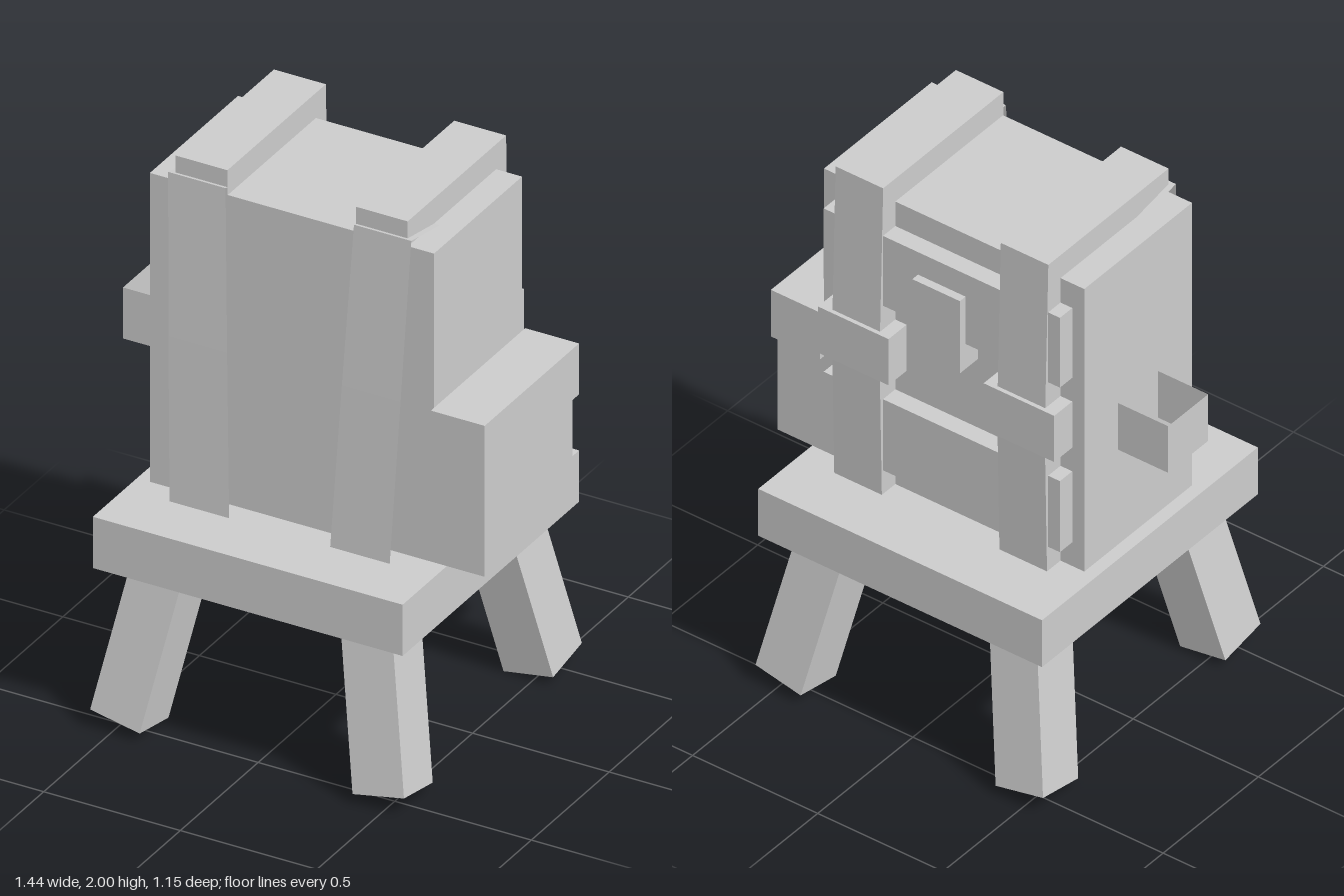
import * as THREE from 'three';

const grey = new THREE.MeshStandardMaterial({ color: 0xcccccc, side: THREE.DoubleSide });
grey.name = 'plain grey';

export function createModel() {
  const model = new THREE.Group();
  model.name = 'backpackOnStool';

  const add = (name, geometry) => {
    const mesh = new THREE.Mesh(geometry, grey);
    mesh.name = name;
    model.add(mesh);
    return mesh;
  };

  // Box given by its extents along each axis
  const box = (name, [x0, x1], [y0, y1], [z0, z1]) => {
    const mesh = add(name, new THREE.BoxGeometry(x1 - x0, y1 - y0, z1 - z0));
    mesh.position.set((x0 + x1) / 2, (y0 + y1) / 2, (z0 + z1) / 2);
    return mesh;
  };

  // Flat-shaded sheet through successive pairs of points
  const sheet = (name, rows) => {
    const corners = [];
    for (let i = 0; i + 1 < rows.length; i++) {
      const [a, b] = rows[i];
      const [c, d] = rows[i + 1];
      corners.push(...a, ...c, ...b, ...b, ...c, ...d);
    }
    const geometry = new THREE.BufferGeometry();
    geometry.setAttribute('position', new THREE.Float32BufferAttribute(corners, 3));
    geometry.computeVertexNormals();
    return add(name, geometry);
  };

  // Stool: square seat and four splayed legs
  box('seat', [-0.567, 0.567], [0.587, 0.775], [-0.567, 0.567]);
  const splay = 0.18, legLength = 0.65;
  for (const sx of [-1, 1]) {
    for (const sz of [-1, 1]) {
      const geometry = new THREE.BoxGeometry(0.188, legLength, 0.188);
      geometry.translate(0, legLength / 2, 0);
      const leg = add('leg', geometry);
      leg.position.set(sx * 0.482, 0.035, sz * 0.482);
      leg.rotation.set(-sz * splay, 0, sx * splay);
    }
  }

  // Bag body, with two pads and a centre buckle on its back
  box('bagBody', [-0.52, 0.52], [0.775, 1.908], [-0.283, 0.283]);
  box('upperPad', [-0.472, 0.472], [1.53, 1.81], [-0.348, -0.28]);
  box('lowerPad', [-0.472, 0.472], [0.87, 1.155], [-0.348, -0.28]);
  box('centreBuckle', [-0.095, 0.095], [1.43, 1.72], [-0.378, -0.28]);

  // Side pouch with an overhanging lid
  box('sidePouch', [0.52, 0.705], [0.775, 1.155], [-0.283, 0.283]);
  box('pouchLid', [0.52, 0.717], [1.155, 1.342], [-0.303, 0.303]);

  // Open loop of thin webbing on the other side
  const loopPath = [[-0.52, -0.105], [-0.72, -0.105], [-0.72, 0.105], [-0.52, 0.105]];
  sheet('sideLoop', loopPath.map(([x, z]) => [[x, 1.155, z], [x, 1.342, z]]));

  // Over-the-top strap, side profile running across the top and down the back
  const profile = new THREE.Shape([
    [0.285, 1.9], [0.285, 2], [-0.347, 2], [-0.366, 1.34],
    [-0.354, 0.775], [-0.28, 0.775], [-0.28, 1.9],
  ].map(([z, y]) => new THREE.Vector2(-z, y)));
  const strapWidth = 0.19;

  // Thin shoulder strap rows: inner x, outer x, y, z
  const shoulder = [
    [0.235, 0.445, 1.905, 0.1],
    [0.235, 0.445, 1.94, 0.297],
    [0.21, 0.425, 1.36, 0.331],
    [0.185, 0.403, 0.776, 0.362],
  ];

  for (const side of [-1, 1]) {
    const geometry = new THREE.ExtrudeGeometry(profile, { depth: strapWidth, bevelEnabled: false });
    geometry.translate(0, 0, -strapWidth / 2);
    geometry.rotateY(Math.PI / 2);
    const strap = add('packStrap', geometry);
    strap.position.x = side * 0.33;

    box('strapClip', side > 0 ? [0.19, 0.472] : [-0.472, -0.19], [1.25, 1.435], [-0.378, -0.283]);

    sheet('shoulderStrap', shoulder.map(([inner, outer, y, z]) => {
      const pair = [[side * inner, y, z], [side * outer, y, z]];
      return side > 0 ? pair : pair.reverse();
    }));
  }

  return model;
}
